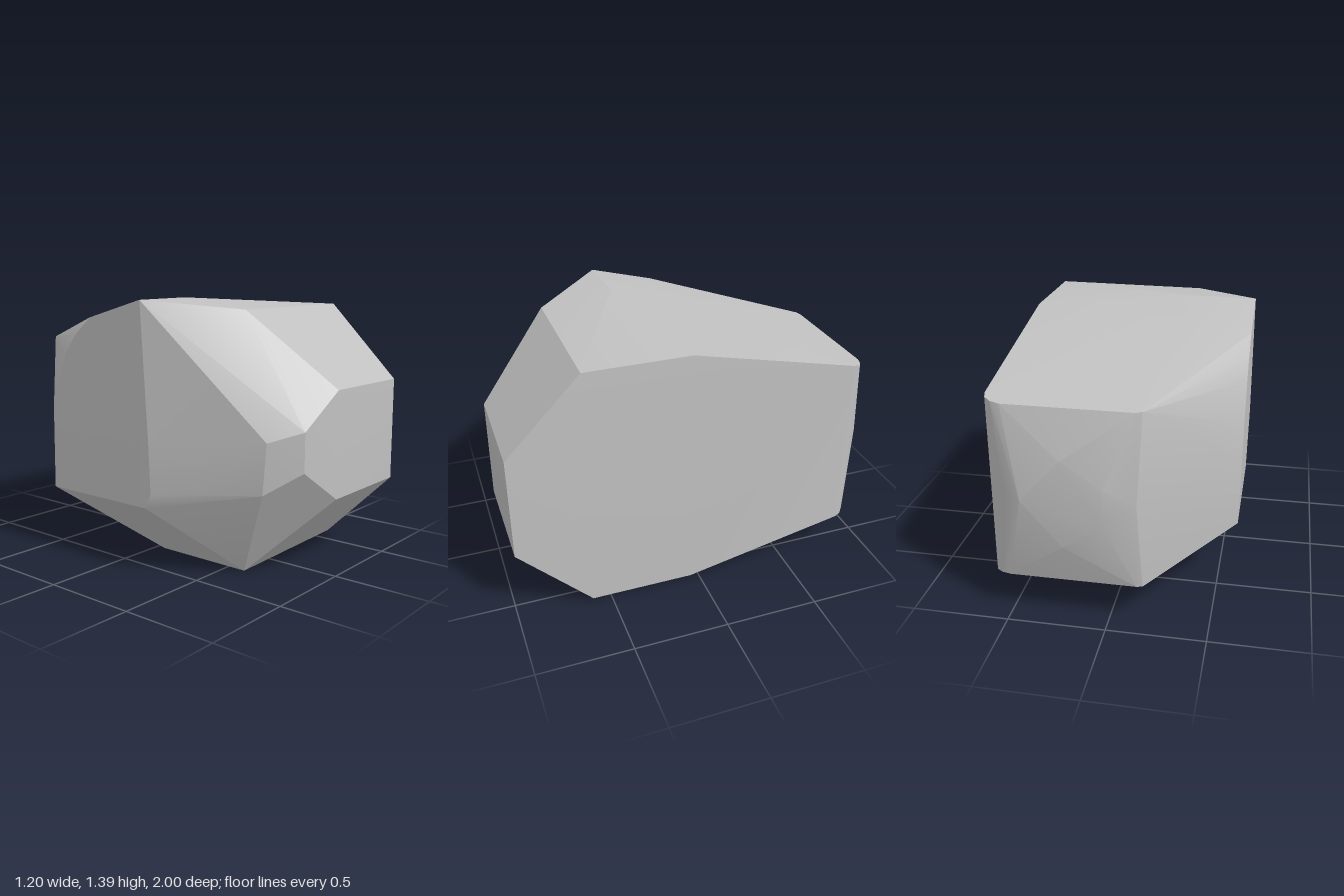
import * as THREE from 'three';
import { ConvexGeometry } from 'three/addons/geometries/ConvexGeometry.js';
import { toCreasedNormals } from 'three/addons/utils/BufferGeometryUtils.js';

const points = (list) => list.map((p) => new THREE.Vector3(...p));

// A faceted boulder: flat on both sides, chamfered in front, tapered behind
export function createModel() {
  const stone = new THREE.MeshStandardMaterial({ color: 0xc0c0c0 });
  stone.name = 'stone grey';

  // Flat side on the model's left, with the top and bottom leaning very slightly
  const leftSide = points([
    [0.59, 0.95, 0.985], [0.597, 0.4, 0.985],
    [0.6, 0.015, 0.6], [0.6, 0.015, 0.05],
    [0.585, 1.345, 0.05], [0.585, 1.345, 0.6],
  ]);

  // Top ridge, front shoulder and base corners
  const topAndBase = points([
    [-0.6, 1.385, 0.22], [-0.25, 1.39, 0.21], [-0.25, 1.337, 0.6],
    [-0.235, 0, 0.6], [-0.235, 0, 0.05],
  ]);

  // Rounded nose on the front
  const nose = points([
    [0, 0.95, 0.985], [0, 0.4, 0.99], [0.3, 0.68, 1],
    [-0.24, 0.77, 0.95], [-0.24, 0.57, 0.95],
    [-0.37, 0.72, 0.82], [-0.37, 0.46, 0.8],
  ]);

  // Flat side on the model's right, with a curved rear edge
  const rightSide = points([
    [-0.6, 1.29, -0.13], [-0.6, 1.2, -0.24], [-0.6, 1.1, -0.32],
    [-0.6, 0.9, -0.4], [-0.6, 0.7, -0.43], [-0.595, 0.345, -0.44],
    [-0.595, 0.345, 0.24], [-0.595, 0.42, 0.28], [-0.6, 0.7, 0.27],
  ]);

  // Rear rim: the same rounded outline at the upper and lower edge
  const rearRim = [];
  for (const [x, z] of [[0.595, -0.83], [0.585, -0.865], [0.55, -0.895], [0.5, -0.912], [-0.14, -0.912], [-0.17, -0.9]]) {
    const inset = (z + 0.91) * 0.23;
    rearRim.push(new THREE.Vector3(x, 1.13 + inset, z), new THREE.Vector3(x, 0.21 - inset, z));
  }

  // Shallow facets bulging from the rear
  const rearFacets = points([
    [0.2, 0.9, -1], [0.2, 0.45, -1], [0.4, 0.68, -1],
    [0, 0.77, -1], [0, 0.58, -1], [-0.15, 0.68, -0.96], [0.48, 0.68, -0.96],
  ]);

  const hull = new ConvexGeometry([
    ...leftSide, ...topAndBase, ...nose, ...rightSide, ...rearRim, ...rearFacets,
  ]);
  const boulder = new THREE.Mesh(toCreasedNormals(hull, 0.3), stone);
  boulder.name = 'boulder';

  const model = new THREE.Group();
  model.name = 'rock';
  model.add(boulder);
  return model;
}
